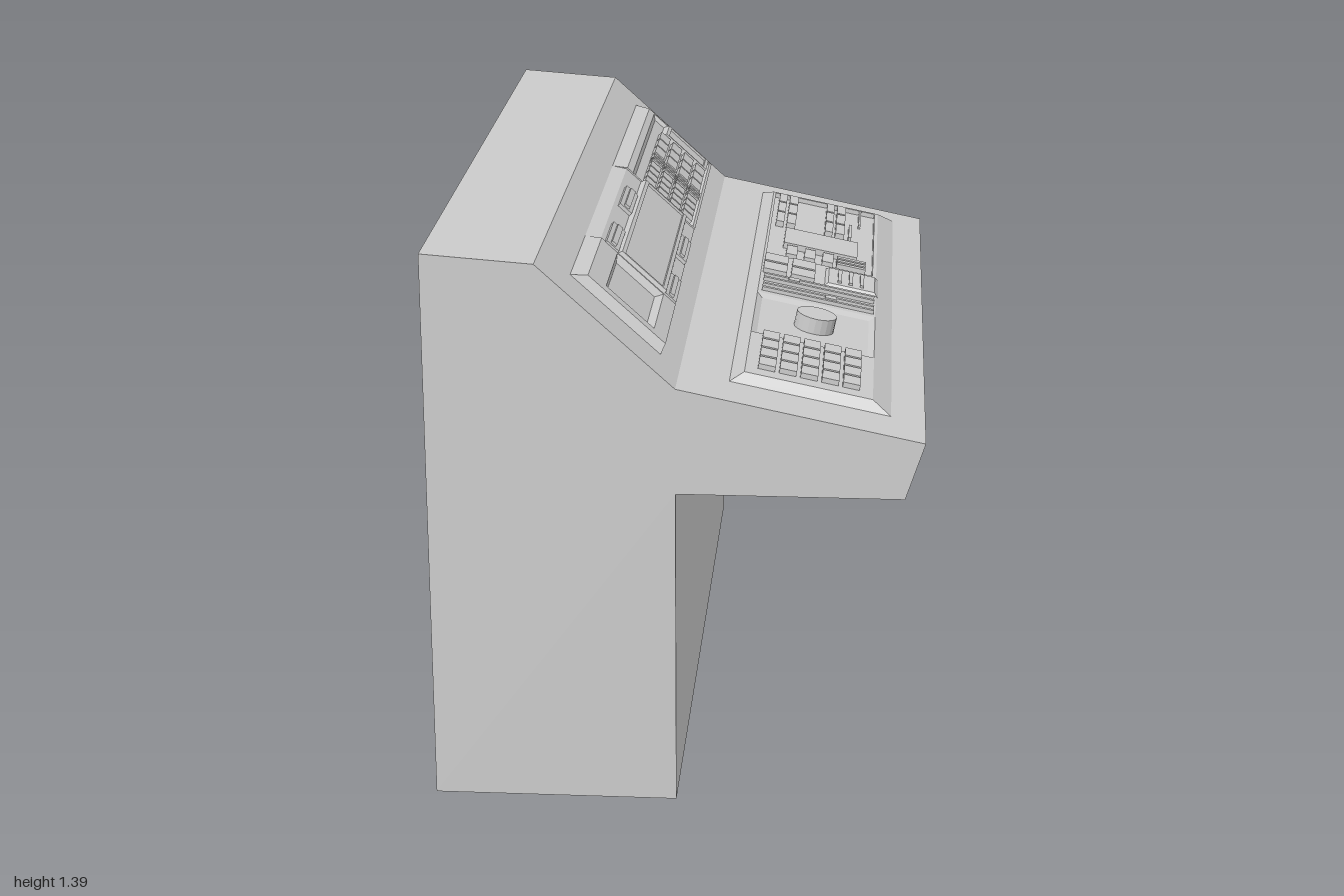
import * as THREE from 'three';

const material = new THREE.MeshStandardMaterial({ color: 0xcccccc, flatShading: true });

function add(parent, name, geometry) {
  const mesh = new THREE.Mesh(geometry, material);
  mesh.name = name;
  parent.add(mesh);
  return mesh;
}

// Sloped work surface between two profile points; local x runs downhill, y is the normal.
function makePanel(parent, name, from, to) {
  const group = new THREE.Group();
  const dx = to[0] - from[0], dy = to[1] - from[1];
  group.name = name;
  group.position.set(from[0], from[1], 0);
  group.rotation.z = Math.atan2(dy, dx);
  parent.add(group);
  const s = (x) => (x - from[0]) * Math.hypot(dx, dy) / dx; // world x to slope distance
  return {
    group, s,
    // Block given by world x range, z range and height range above the slope
    box(label, x0, x1, z0, z1, h0, h1) {
      const g = new THREE.BoxGeometry(s(x1) - s(x0), h1 - h0, z1 - z0);
      g.translate((s(x0) + s(x1)) / 2, (h0 + h1) / 2, (z0 + z1) / 2);
      return add(group, label, g);
    },
    // Rectangular loops [x0, x1, z0, z1, h] joined in order, the last one capped
    loft(label, loops) {
      const pos = [], index = [];
      for (const [x0, x1, z0, z1, h] of loops)
        pos.push(s(x0), h, z0, s(x0), h, z1, s(x1), h, z1, s(x1), h, z0);
      for (let i = 0; i < loops.length - 1; i++)
        for (let k = 0; k < 4; k++) {
          const a = i * 4 + k, b = i * 4 + (k + 1) % 4;
          index.push(a, b, b + 4, a, b + 4, a + 4);
        }
      const c = (loops.length - 1) * 4;
      index.push(c, c + 1, c + 2, c, c + 2, c + 3);
      let g = new THREE.BufferGeometry();
      g.setAttribute('position', new THREE.Float32BufferAttribute(pos, 3));
      g.setIndex(index);
      g = g.toNonIndexed();
      g.computeVertexNormals();
      return add(group, label, g);
    },
    // Even grid of keys over a rectangle
    keys(label, x0, x1, nx, z0, z1, nz, gap, h0, h1) {
      const w = (x1 - x0) / nx, d = (z1 - z0) / nz;
      for (let i = 0; i < nx; i++)
        for (let j = 0; j < nz; j++)
          this.box(label, x0 + i * w, x0 + (i + 1) * w - gap, z0 + j * d, z0 + (j + 1) * d - gap, h0, h1);
    },
  };
}

export function createModel() {
  const model = new THREE.Group();
  model.name = 'controlConsole';

  // Cabinet: side profile swept along z
  const profile = [[-0.6, 0], [0, 0], [0, 0.81], [0.547, 0.81], [0.593, 0.952],
    [0, 1.075], [-0.33, 1.375], [-0.6, 1.395]];
  const shape = new THREE.Shape(profile.map(([x, y]) => new THREE.Vector2(x, y)));
  const body = new THREE.ExtrudeGeometry(shape, { depth: 1.99, bevelEnabled: false });
  add(model, 'cabinet', body.translate(0, 0, -0.995));

  // ---- Lower desk panel ----
  const desk = makePanel(model, 'deskPanel', profile[5], profile[4]);
  const T = 0.027;
  desk.loft('deskPlateRight', [
    [0.12, 0.51, -0.9, -0.175, 0], [0.15, 0.46, -0.84, -0.175, T],
    [0.157, 0.45, -0.83, -0.19, T], [0.157, 0.45, -0.83, -0.19, 0.014]]);
  desk.loft('deskPlateMiddle', [[0.12, 0.51, -0.175, 0.18, 0], [0.15, 0.46, -0.175, 0.18, T]]);
  desk.loft('deskPlateKnob', [
    [0.12, 0.51, 0.18, 0.52, 0], [0.15, 0.46, 0.18, 0.52, T], [0.165, 0.445, 0.2, 0.505, 0.019]]);
  desk.loft('deskPlateLeft', [[0.12, 0.51, 0.52, 0.855, 0], [0.15, 0.46, 0.52, 0.84, T]]);

  // Key pad
  desk.keys('padKey', 0.18, 0.437, 5, 0.525, 0.805, 4, 0.01, T - 0.005, T + 0.013);

  // Dial
  const dial = add(desk.group, 'dial', new THREE.CylinderGeometry(0.052, 0.052, 0.045, 20));
  dial.position.set(desk.s(0.305), 0.037, 0.36);

  // Slider tracks with handles
  for (const [z, hx] of [[0.045, 0.24], [0.135, 0.34]]) {
    for (const side of [-1, 1])
      desk.box('sliderRail', 0.16, 0.455, z + side * 0.017 - 0.006, z + side * 0.017 + 0.006, T, T + 0.01);
    desk.box('sliderHandle', hx - 0.015, hx + 0.015, z - 0.013, z + 0.013, T, T + 0.014);
  }

  // Four pads and a vented block
  desk.keys('squarePad', 0.155, 0.305, 2, -0.158, 0.005, 2, 0.012, T, T + 0.012);
  desk.loft('ventBlock', [[0.315, 0.47, -0.17, 0.0, 0.02], [0.33, 0.455, -0.155, -0.012, T + 0.008]]);
  for (let i = 0; i < 3; i++)
    desk.box('ventRib', 0.355 + i * 0.03, 0.365 + i * 0.03, -0.135, -0.03, T, T + 0.014);

  // Display and meters in the sunken bay
  desk.box('bayDisplay', 0.2, 0.405, -0.475, -0.32, 0.012, T + 0.004);
  for (let i = 0; i < 3; i++) {
    desk.box('bayLever', 0.21 + i * 0.05, 0.24 + i * 0.05, -0.305, -0.22, 0.012, T + 0.003);
    desk.box('baySwitch', 0.35, 0.43, -0.3 + i * 0.03, -0.282 + i * 0.03, 0.012, T + 0.003);
  }
  for (const x of [0.17, 0.31])
    for (const [z0, z1] of [[-0.825, -0.74], [-0.73, -0.635], [-0.625, -0.525]]) {
      desk.box('meterBar', x, x + 0.022, z0, z1, 0.012, T + 0.004);
      desk.box('meterBar', x + 0.03, x + 0.055, z0, z1, 0.012, T + 0.004);
    }
  desk.box('meterStrip', 0.378, 0.386, -0.66, -0.525, 0.012, T);
  desk.box('meterStrip', 0.405, 0.411, -0.825, -0.68, 0.012, T);

  // ---- Upper sloped panel ----
  const upper = makePanel(model, 'upperPanel', profile[6], profile[5]);
  const U = 0.024;
  upper.loft('upperPlateRight', [
    [-0.26, -0.045, -0.905, -0.18, 0], [-0.235, -0.05, -0.885, -0.18, U],
    [-0.22, -0.056, -0.875, -0.18, U], [-0.21, -0.06, -0.865, -0.18, 0.014]]);
  upper.loft('upperPlateMiddle', [[-0.26, -0.045, -0.18, 0.52, 0], [-0.235, -0.05, -0.18, 0.52, U - 0.004]]);
  upper.loft('upperPlateLeft', [
    [-0.26, -0.045, 0.52, 0.86, 0], [-0.235, -0.05, 0.52, 0.845, U],
    [-0.195, -0.08, 0.53, 0.81, U], [-0.185, -0.09, 0.54, 0.8, 0.006]]);

  // Long screen with sloped rim and its clamps
  upper.loft('longScreen', [
    [-0.2, -0.07, -0.19, 0.53, 0.01], [-0.19, -0.08, -0.18, 0.52, U + 0.01],
    [-0.182, -0.088, -0.172, 0.512, U + 0.01], [-0.182, -0.088, -0.172, 0.512, U + 0.004]]);
  for (const [z0, z1] of [[-0.015, 0.17], [0.345, 0.525]])
    for (const [x0, x1] of [[-0.225, -0.195], [-0.08, -0.052]]) {
      upper.box('clamp', x0, x1, z0, z1, 0.01, U + 0.005);
      upper.box('clampRidge', x0 + 0.009, x1 - 0.009, z0 + 0.012, z1 - 0.012, U, U + 0.011);
    }

  // Key field: large keys, a dense band, medium keys
  upper.keys('upperKey', -0.19, -0.055, 4, -0.755, -0.51, 3, 0.008, 0.012, U + 0.004);
  upper.keys('smallKey', -0.19, -0.055, 4, -0.5, -0.42, 4, 0.006, 0.012, U + 0.006);
  upper.keys('upperKey', -0.19, -0.055, 4, -0.415, -0.19, 4, 0.008, 0.012, U + 0.004);

  // Small screen at the right end
  upper.loft('smallScreen', [
    [-0.185, -0.06, -0.872, -0.762, 0.012], [-0.178, -0.062, -0.868, -0.766, U + 0.006],
    [-0.17, -0.07, -0.86, -0.774, U + 0.006], [-0.17, -0.07, -0.86, -0.774, U]]);

  return model;
}
